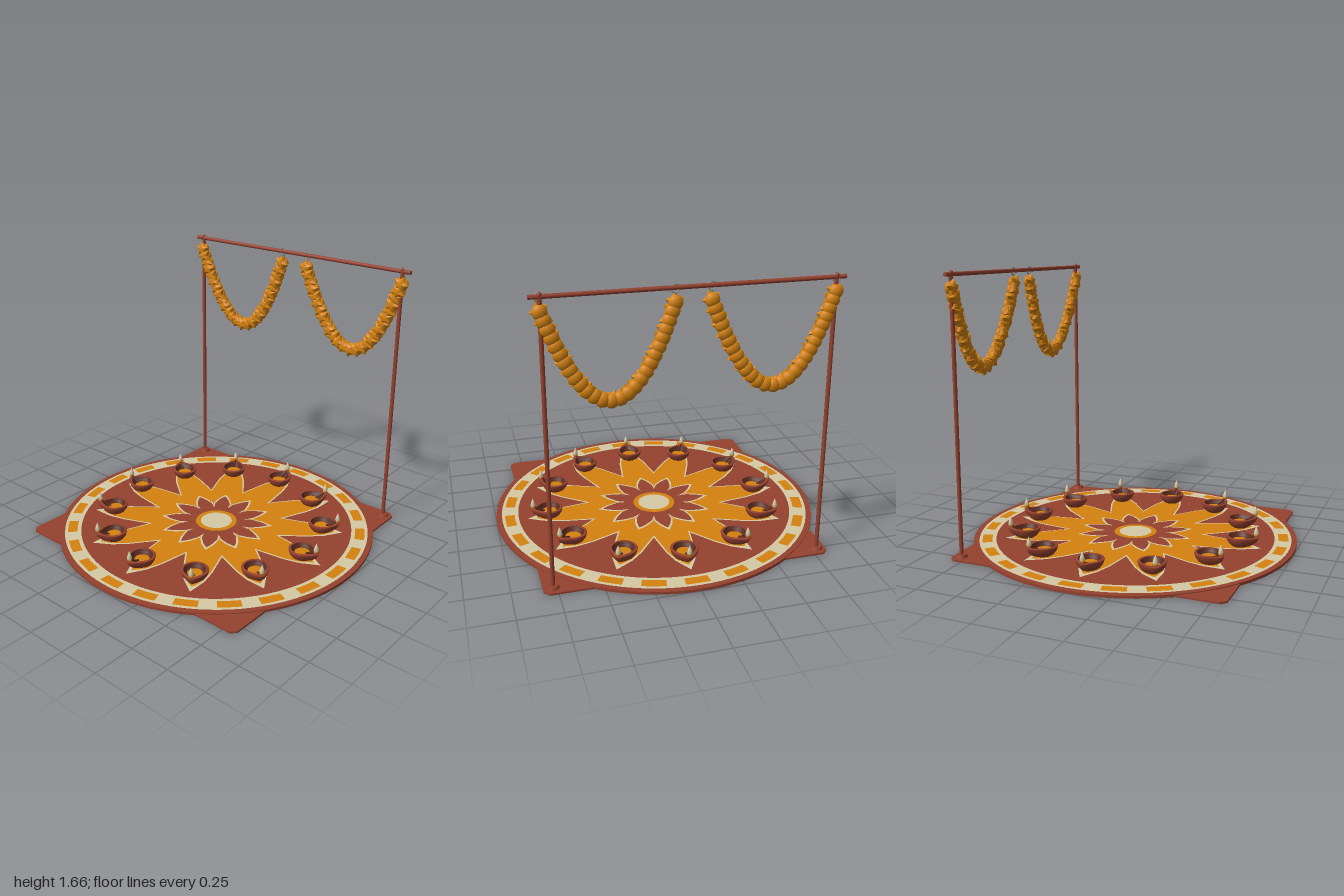
import * as THREE from 'three';
import { mergeGeometries } from 'three/addons/utils/BufferGeometryUtils.js';

const mat = (name, color) => {
  const m = new THREE.MeshStandardMaterial({ color });
  m.name = name;
  return m;
};

export function createModel() {
  const clay = mat('terracotta', 0x96422f);
  const orange = mat('marigold orange', 0xd4820f);
  const cream = mat('cream', 0xd6caa6);
  const dark = mat('dark brown', 0x5a2a1e);
  const steel = mat('steel', 0x8c8c86);
  const root = new THREE.Group();
  root.name = 'festivalFloor';

  const add = (parent, name, geo, material, x = 0, y = 0, z = 0) => {
    const m = new THREE.Mesh(geo, material);
    m.name = name;
    m.position.set(x, y, z);
    parent.add(m);
    return m;
  };
  // flat shape lying face up on the floor
  const lay = (name, shape, material, y) =>
    add(root, name, new THREE.ShapeGeometry(shape, 48).rotateX(-Math.PI / 2), material, 0, y, 0);

  // Base: chamfered square under a round board
  const h = 0.83, c = 0.03;
  const square = new THREE.Shape([
    [-h + c, -h], [h - c, -h], [h, -h + c], [h, h - c], [h - c, h], [-h + c, h], [-h, h - c], [-h, -h + c],
  ].map(([x, y]) => new THREE.Vector2(x, y)));
  add(root, 'squareBase',
    new THREE.ExtrudeGeometry(square, { depth: 0.011, bevelEnabled: false }).rotateX(-Math.PI / 2), clay);
  add(root, 'roundBoard', new THREE.CylinderGeometry(1, 1, 0.016, 96), clay, 0, 0.008, 0);

  // Border band with orange dashes
  const sector = (r0, r1, a0, a1) => {
    const s = new THREE.Shape();
    s.absarc(0, 0, r1, a0, a1, false);
    s.absarc(0, 0, r0, a1, a0, true);
    return s;
  };
  add(root, 'borderBand', new THREE.RingGeometry(0.865, 0.967, 96).rotateX(-Math.PI / 2), cream, 0, 0.017, 0);
  const dashes = [];
  for (let i = 0; i < 24; i++) {
    const a = (i * Math.PI) / 12;
    dashes.push(new THREE.ShapeGeometry(sector(0.888, 0.948, a - 0.075, a + 0.075), 6).rotateX(-Math.PI / 2));
  }
  add(root, 'borderDashes', mergeGeometries(dashes), orange, 0, 0.018, 0);

  // Twelve-petalled stars from a half-petal profile of [half width, radius]
  const petals = (half) => {
    const one = [...half, ...half.slice(1, -1).reverse().map(([w, r]) => [-w, r])];
    const pts = [];
    for (let i = 0; i < 12; i++) {
      const a = (i * Math.PI) / 6, ca = Math.cos(a), sa = Math.sin(a);
      for (const [w, r] of one) pts.push(new THREE.Vector2(r * ca + w * sa, r * sa - w * ca));
    }
    return new THREE.Shape(pts);
  };
  lay('starOutline', petals([[0.113, 0.422], [0.088, 0.6], [0.06, 0.7], [0.03, 0.755], [0, 0.81]]), cream, 0.017);
  lay('star', petals([[0.107, 0.4], [0.078, 0.6], [0.05, 0.69], [0.025, 0.73], [0, 0.76]]), orange, 0.018);
  lay('flowerOutline', petals([[0.051, 0.19], [0.059, 0.235], [0.04, 0.295], [0.02, 0.33], [0, 0.362]]), cream, 0.019);
  lay('flower', petals([[0.046, 0.172], [0.049, 0.23], [0.03, 0.285], [0.014, 0.315], [0, 0.335]]), clay, 0.02);
  lay('centreRing', new THREE.Shape().absarc(0, 0, 0.132, 0, Math.PI * 2), orange, 0.021);
  lay('centreDisc', new THREE.Shape().absarc(0, 0, 0.1, 0, Math.PI * 2), cream, 0.022);

  // Oil lamps: lathes pulled out into a spout toward +x
  const spouted = (profile) => {
    const g = new THREE.LatheGeometry(profile.map(([r, y]) => new THREE.Vector2(r, y)), 32);
    const p = g.attributes.position;
    for (let i = 0; i < p.count; i++) {
      const x = p.getX(i), z = p.getZ(i), r = Math.hypot(x, z);
      if (x > 0) p.setX(i, x + 0.032 * Math.pow(x / r, 8) * Math.pow(r / 0.083, 2));
    }
    g.computeVertexNormals();
    return g;
  };
  const bowlGeo = spouted([[0, 0], [0.045, 0], [0.062, 0.012], [0.076, 0.032], [0.083, 0.056], [0.08, 0.06], [0.066, 0.06]]);
  const insideGeo = spouted([[0.066, 0.06], [0.058, 0.042], [0.045, 0.028], [0, 0.026]]);
  const oilGeo = new THREE.CircleGeometry(0.045, 24).rotateX(-Math.PI / 2);
  const wickGeo = new THREE.TubeGeometry(new THREE.CatmullRomCurve3([
    new THREE.Vector3(0.03, 0.038, 0), new THREE.Vector3(0.075, 0.058, 0), new THREE.Vector3(0.1, 0.082, 0),
  ]), 8, 0.006, 6);
  const flameProfile = (w, tall) => new THREE.LatheGeometry(
    [[0, 0], [0.6, 0.12], [1, 0.35], [0.7, 0.62], [0.3, 0.85], [0, 1]]
      .map(([r, y]) => new THREE.Vector2(r * w, y * tall)), 10);
  const flameGeo = flameProfile(0.016, 0.072);
  const coreGeo = flameProfile(0.009, 0.036).scale(1.6, 1, 2.0);

  for (let i = 0; i < 12; i++) {
    const a = (i * Math.PI) / 6;
    const lamp = new THREE.Group();
    lamp.name = 'oilLamp';
    lamp.position.set(0.675 * Math.cos(a), 0.021, -0.675 * Math.sin(a));
    lamp.rotation.y = a;
    add(lamp, 'bowl', bowlGeo, clay);
    add(lamp, 'bowlInside', insideGeo, dark);
    add(lamp, 'oil', oilGeo, orange, 0, 0.036, 0);
    add(lamp, 'wick', wickGeo, dark);
    add(lamp, 'flame', flameGeo, cream, 0.1, 0.06, 0);
    add(lamp, 'flameCore', coreGeo, orange, 0.1, 0.062, 0);
    root.add(lamp);
  }

  // Frame: two posts with feet and a top bar
  const fz = -0.775;
  for (const s of [-1, 1]) {
    add(root, 'post', new THREE.CylinderGeometry(0.012, 0.012, 1.62, 16), clay, s * 0.775, 0.825, fz);
    add(root, 'postFoot', new THREE.CylinderGeometry(0.03, 0.036, 0.016, 24), clay, s * 0.775, 0.021, fz);
    add(root, 'postCap', new THREE.SphereGeometry(0.014, 12, 8), clay, s * 0.775, 1.645, fz);
  }
  add(root, 'topBar', new THREE.CylinderGeometry(0.012, 0.012, 1.66, 16).rotateZ(Math.PI / 2), clay, 0, 1.636, fz);

  // One blossom: five-pointed flat-shaded star in front of a round bead
  const starGeo = new THREE.SphereGeometry(1, 10, 6).rotateX(Math.PI / 2);
  const sp = starGeo.attributes.position;
  for (let i = 0; i < sp.count; i++) {
    const x = sp.getX(i), y = sp.getY(i);
    const k = Math.round(Math.atan2(y, x) / (Math.PI / 5));
    const f = Math.abs(k) % 2 ? 0.66 : 1.0;
    sp.setXYZ(i, x * f * 0.052, y * f * 0.052, sp.getZ(i) * 0.024);
  }
  const star = starGeo.toNonIndexed();
  star.computeVertexNormals();
  const bead = new THREE.SphereGeometry(0.04, 14, 8).scale(1, 1, 0.65);

  // Garlands hang in a parabola and lean back at the bottom
  const count = 27;
  for (const s of [-1, 1]) {
    const garland = new THREE.Group();
    garland.name = 'garland';
    const curve = new THREE.CatmullRomCurve3(Array.from({ length: 13 }, (_, i) => {
      const t = i / 6 - 1;
      return new THREE.Vector3(s * 0.437 + t * 0.34, 1.08 + 0.48 * t * t, -0.802 + 0.03 * t * t);
    }));
    const stars = [], beads = [];
    curve.getSpacedPoints(count - 1).forEach((p, i) => {
      stars.push(star.clone().rotateZ(Math.PI / 2 + i * 0.42).translate(p.x, p.y, p.z + 0.008 + (i % 2) * 0.004));
      beads.push(bead.clone().translate(p.x, p.y, p.z - 0.008));
    });
    add(garland, 'blossoms', mergeGeometries(stars), orange);
    add(garland, 'beads', mergeGeometries(beads), orange);
    for (const x of [0.097, 0.777]) {
      add(garland, 'hangingRing', new THREE.TorusGeometry(0.023, 0.0035, 8, 24), steel, s * x, 1.632, fz);
      add(garland, 'hangingCord', new THREE.CylinderGeometry(0.003, 0.003, 0.05, 6), steel, s * x, 1.59, fz);
    }
    root.add(garland);
  }
  return root;
}
